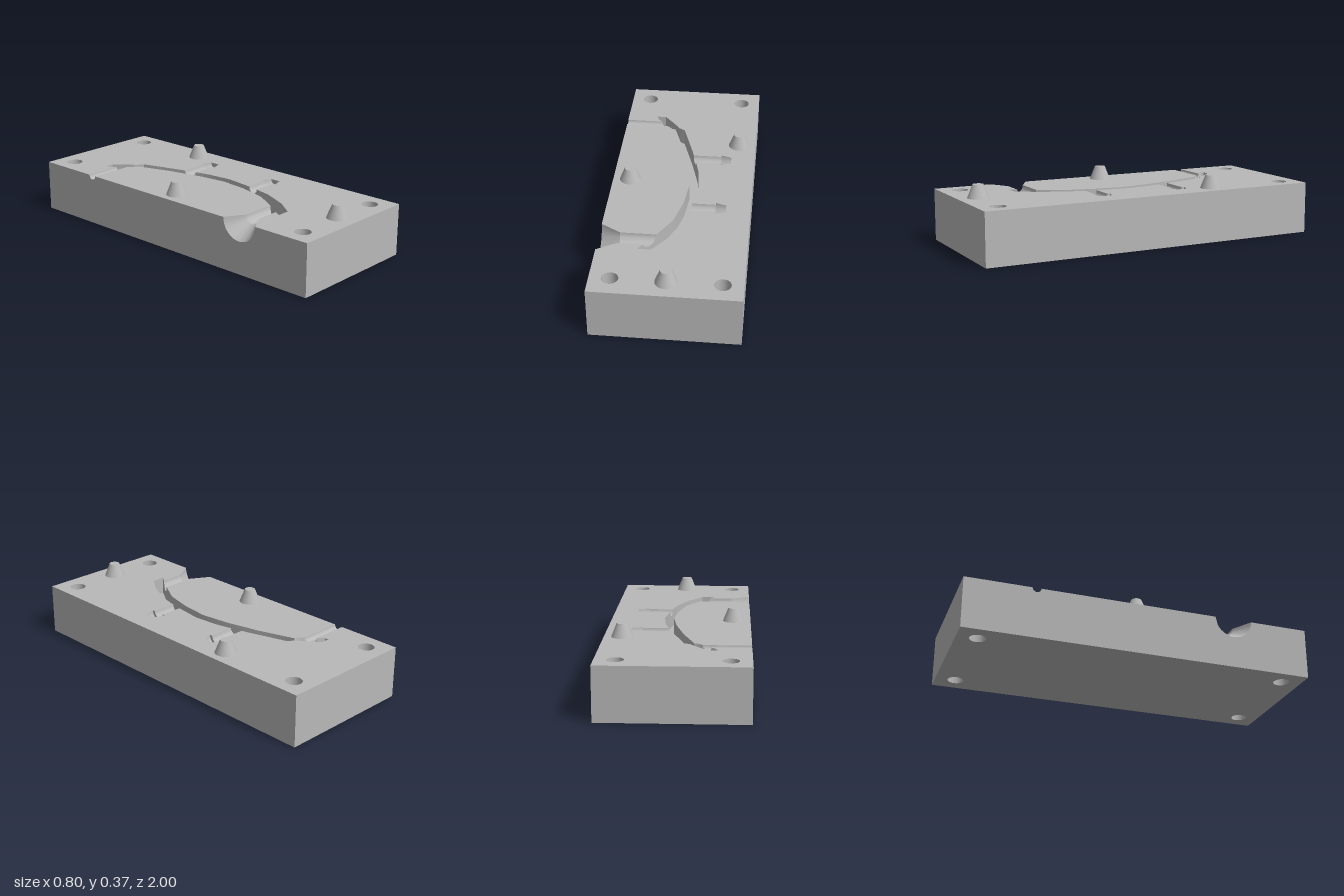
import * as THREE from 'three';
import { toCreasedNormals } from 'three/addons/utils/BufferGeometryUtils.js';

const TOP = 0.295, FLOOR = 0.195, ARC = 16;

// Half-round arc hanging below the top face, running towards +z; xAt gives x for each z
function arc(xAt, z, r) {
  return Array.from({ length: ARC + 1 }, (_, i) => {
    const a = Math.PI * i / ARC, pz = z - r * Math.cos(a);
    return [xAt(pz), TOP - r * Math.sin(a), pz];
  });
}

// Arc where a channel breaks through the slot wall between plan points p and q
function mouth(p, q) {
  const x = z => p[0] + (q[0] - p[0]) * (z - p[1]) / (q[1] - p[1]);
  return arc(x, (p[1] + q[1]) / 2, (q[1] - p[1]) / 2);
}

// Surface through rows of points
function loft(rows) {
  const v = [];
  for (let r = 0; r + 1 < rows.length; r++) {
    const a = rows[r], b = rows[r + 1];
    for (let i = 0; i + 1 < a.length; i++) {
      v.push(...a[i], ...a[i + 1], ...b[i], ...a[i + 1], ...b[i + 1], ...b[i]);
    }
  }
  const g = new THREE.BufferGeometry();
  g.setAttribute('position', new THREE.Float32BufferAttribute(v, 3));
  return toCreasedNormals(g, 0.5);
}

// Horizontal face from plan points [x, z], with optional round holes
function plate(points, y, holes = [], up = true) {
  const s = up ? -1 : 1;
  const shape = new THREE.Shape(points.map(([x, z]) => new THREE.Vector2(x, s * z)));
  for (const [x, z, r] of holes) {
    const h = new THREE.Path();
    h.absarc(x, s * z, r, 0, Math.PI * 2, true);
    shape.holes.push(h);
  }
  return new THREE.ShapeGeometry(shape, 16).rotateX(s * Math.PI / 2).translate(0, y, 0);
}

export function createModel() {
  const group = new THREE.Group();
  const grey = new THREE.MeshStandardMaterial({ color: 0xb8b8b8, side: THREE.DoubleSide });
  grey.name = 'mould grey';
  const add = (name, geometry) => {
    const m = new THREE.Mesh(geometry, grey);
    m.name = name;
    group.add(m);
    return m;
  };
  const lift = pts => pts.map(([x, z]) => [x, TOP, z]);

  // Plan outlines of the curved slot, [x, z]
  const vent = [[-0.188, -0.625], [-0.143, -0.575]];
  const sprue = [[-0.095, 0.505], [-0.154, 0.595]];
  const clipA = [[0.04, -0.27], [0.058, -0.203]];
  const clipB = [[0.073, 0.207], [0.061, 0.273]];
  const hookTip = [[-0.22, -0.68], [-0.215, -0.655]];
  const slotEnd = [-0.18, 0.635];
  const inner = [[-0.12, -0.55], [-0.095, -0.54], [-0.03, -0.34], [0.02, -0.13],
    [0.042, 0.04], [0.026, 0.2], [-0.016, 0.37], [-0.085, 0.49]];
  const outerFront = [slotEnd, [-0.106, 0.635], [-0.03, 0.53], [0.037, 0.38]];
  const outerMid = [[0.095, 0.04], [0.08, -0.11], [0.07, -0.155]];
  const outerBack = [[0.03, -0.31], [-0.04, -0.54], [-0.075, -0.56], [-0.11, -0.61], [-0.17, -0.68], hookTip[0]];
  const outer = [...outerFront, clipB[1], clipB[0], ...outerMid, clipA[1], clipA[0], ...outerBack];

  // Block faces
  const bolts = [];
  for (const x of [-0.29, 0.29]) for (const z of [-0.885, 0.885]) bolts.push([x, z, 0.045]);
  add('bottomFace', plate([[-0.4, -1], [0.4, -1], [0.4, 1], [-0.4, 1]], 0, bolts, false));
  add('frontFace', new THREE.PlaneGeometry(0.8, TOP).translate(0, TOP / 2, 1));
  add('backFace', new THREE.PlaneGeometry(0.8, TOP).rotateY(Math.PI).translate(0, TOP / 2, -1));
  add('leftFace', new THREE.PlaneGeometry(2, TOP).rotateY(Math.PI / 2).translate(0.4, TOP / 2, 0));

  const sideOutline = [[-1, 0], [1, 0], [1, TOP]];
  for (const [z, r] of [[0.55, 0.11], [-0.6, 0.025]]) {
    arc(() => 0, z, r).reverse().forEach(p => sideOutline.push([p[2], p[1]]));
  }
  sideOutline.push([-1, TOP]);
  const sideShape = new THREE.Shape(sideOutline.map(p => new THREE.Vector2(...p)));
  add('rightFace', new THREE.ShapeGeometry(sideShape).rotateY(-Math.PI / 2).translate(-0.4, 0, 0));

  // Top faces on either side of the slot
  add('innerTopFace', plate([[-0.4, -0.575], vent[1], ...inner, sprue[0], [-0.29, 0.505], [-0.4, 0.44]], TOP));

  // Notch in the top face for a barbed clip
  const notch = z => [[0.205, z + 0.033], [0.205, z + 0.05], [0.264, z + 0.03],
    [0.264, z - 0.03], [0.205, z - 0.05], [0.205, z - 0.033]];
  add('outerTopFace', plate([[-0.4, -1], [0.4, -1], [0.4, 1], [-0.4, 1], [-0.4, 0.66], [-0.29, 0.595], sprue[1],
    ...outerFront, clipB[1], ...notch(0.24), clipB[0], ...outerMid, clipA[1], ...notch(-0.2365), clipA[0],
    ...outerBack, hookTip[1], vent[0], [-0.4, -0.625]], TOP, bolts));

  // Slot floor and walls; the hook's inner wall slopes
  add('slotFloor', plate([...hookTip, ...vent, ...inner, ...sprue, ...outer], FLOOR));
  const drop = pts => pts.map(([x, , z]) => [x, FLOOR, z]);
  const innerTop = [...lift(hookTip), ...mouth(...vent), ...lift(inner), ...mouth(...sprue), ...lift([slotEnd])];
  const innerBottom = drop(innerTop).map(([x, y, z]) => z < -0.545 && z > -0.67 ? [x + 0.024, y, z - 0.02] : [x, y, z]);
  add('slotInnerWall', loft([innerTop, innerBottom]));
  const outerTop = [...lift(outerFront), ...mouth(...clipB).reverse(), ...lift(outerMid),
    ...mouth(...clipA).reverse(), ...lift(outerBack)];
  add('slotOuterWall', loft([outerTop, drop(outerTop)]));

  // Half-round channels
  const ring = (x, z, r) => arc(() => x, z, r);
  add('ventChannel', loft([ring(-0.4, -0.6, 0.025), mouth(...vent)]));
  add('sprueFunnel', loft([ring(-0.4, 0.55, 0.11), ring(-0.29, 0.55, 0.045), mouth(...sprue)]));
  for (const [ends, z] of [[clipA, -0.2365], [clipB, 0.24]]) {
    add('clipCavity', loft([mouth(...ends), ring(0.205, z, 0.033), ring(0.205, z, 0.05),
      ring(0.264, z, 0.03), ring(0.264, z, 0)]));
  }

  // Bolt hole linings, facing inwards
  for (const [x, z, r] of bolts) {
    const g = new THREE.CylinderGeometry(r, r, TOP, 32, 1, true).scale(-1, 1, 1);
    const n = g.attributes.normal;
    for (let i = 0; i < n.count; i++) n.setXYZ(i, -n.getX(i), 0, -n.getZ(i));
    add('boltHole', g.translate(x, TOP / 2, z));
  }

  // Tapered locating pins
  for (const [x, z] of [[-0.302, 0], [0, 0.885], [0.3, -0.405]]) {
    add('locatingPin', new THREE.CylinderGeometry(0.03, 0.06, 0.075, 32)).position.set(x, TOP + 0.0375, z);
  }
  return group;
}
